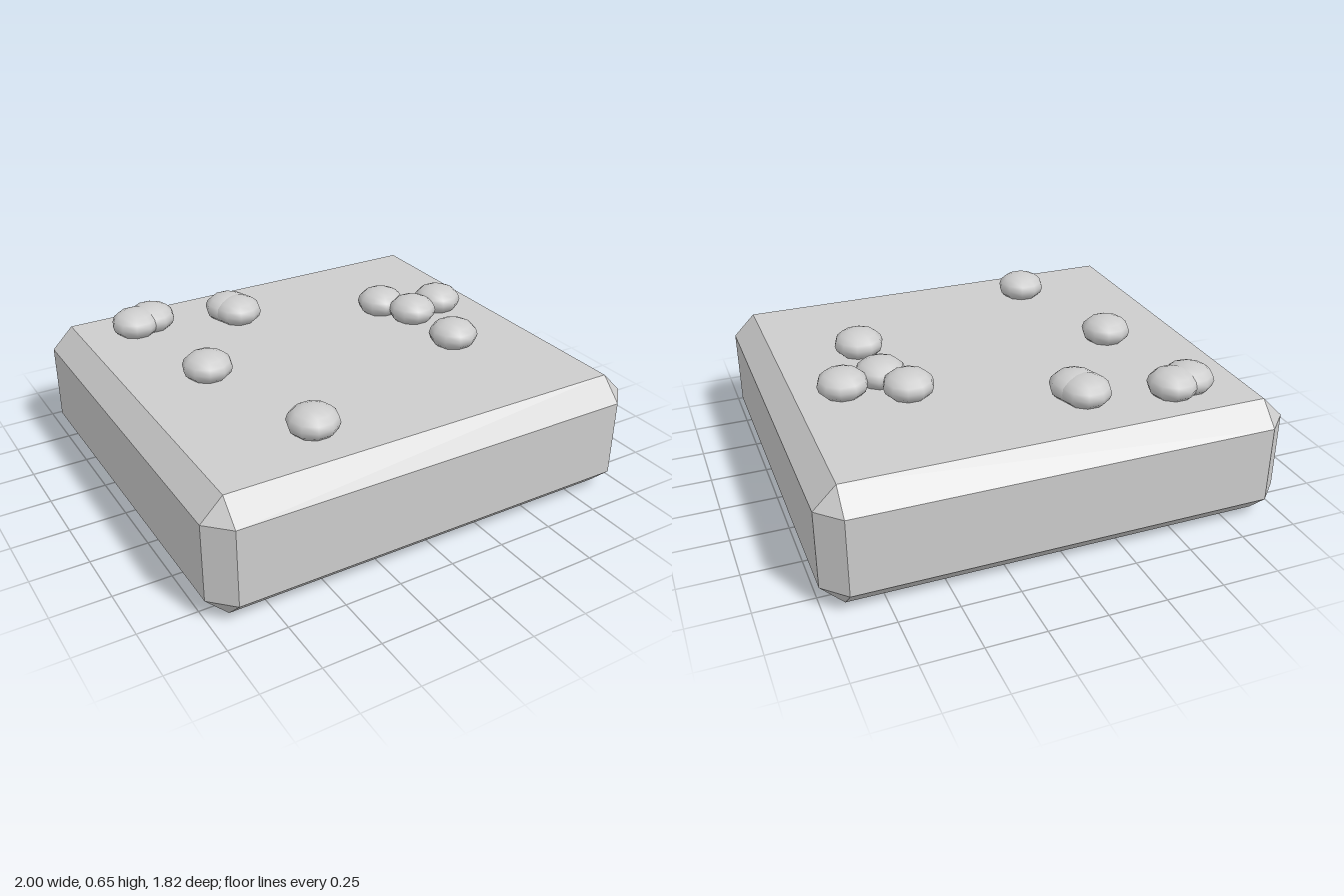
import * as THREE from 'three';
import { ConvexGeometry } from 'three/addons/geometries/ConvexGeometry.js';

const HALF_W = 1, HALF_D = 0.912, HEIGHT = 0.533, BEVEL = 0.096;

// Box with every edge and corner chamfered: each corner becomes three points
function chamferedBox(hx, hy, hz, b) {
  const points = [];
  for (const sx of [-1, 1]) for (const sy of [-1, 1]) for (const sz of [-1, 1]) {
    points.push(
      new THREE.Vector3(sx * hx, sy * (hy - b), sz * (hz - b)),
      new THREE.Vector3(sx * (hx - b), sy * hy, sz * (hz - b)),
      new THREE.Vector3(sx * (hx - b), sy * (hy - b), sz * hz)
    );
  }
  return new ConvexGeometry(points);
}

export function createModel() {
  const model = new THREE.Group();
  model.name = 'studdedBlock';
  const grey = new THREE.MeshStandardMaterial({ color: 0xcccccc });
  grey.name = 'light grey';

  // Main block
  const block = new THREE.Mesh(chamferedBox(HALF_W, HEIGHT / 2, HALF_D, BEVEL), grey);
  block.name = 'block';
  block.position.y = HEIGHT / 2;
  model.add(block);

  // Flattened pebbles scattered on the top, as [x, z]
  const spots = [
    [-0.66, -0.61], [-0.575, -0.635], [-0.21, -0.56], [-0.19, -0.5], [-0.56, -0.045],
    [-0.405, 0.59], [0.45, -0.245], [0.527, -0.09], [0.703, -0.137], [0.535, 0.225],
  ];
  const pebbleGeometry = new THREE.SphereGeometry(0.11, 10, 8).scale(1, 0.62, 1);
  const pebbles = new THREE.Group();
  pebbles.name = 'pebbles';
  for (const [x, z] of spots) {
    const pebble = new THREE.Mesh(pebbleGeometry, grey);
    pebble.name = 'pebble';
    pebble.position.set(x, 0.578, z);
    pebbles.add(pebble);
  }
  model.add(pebbles);
  return model;
}
